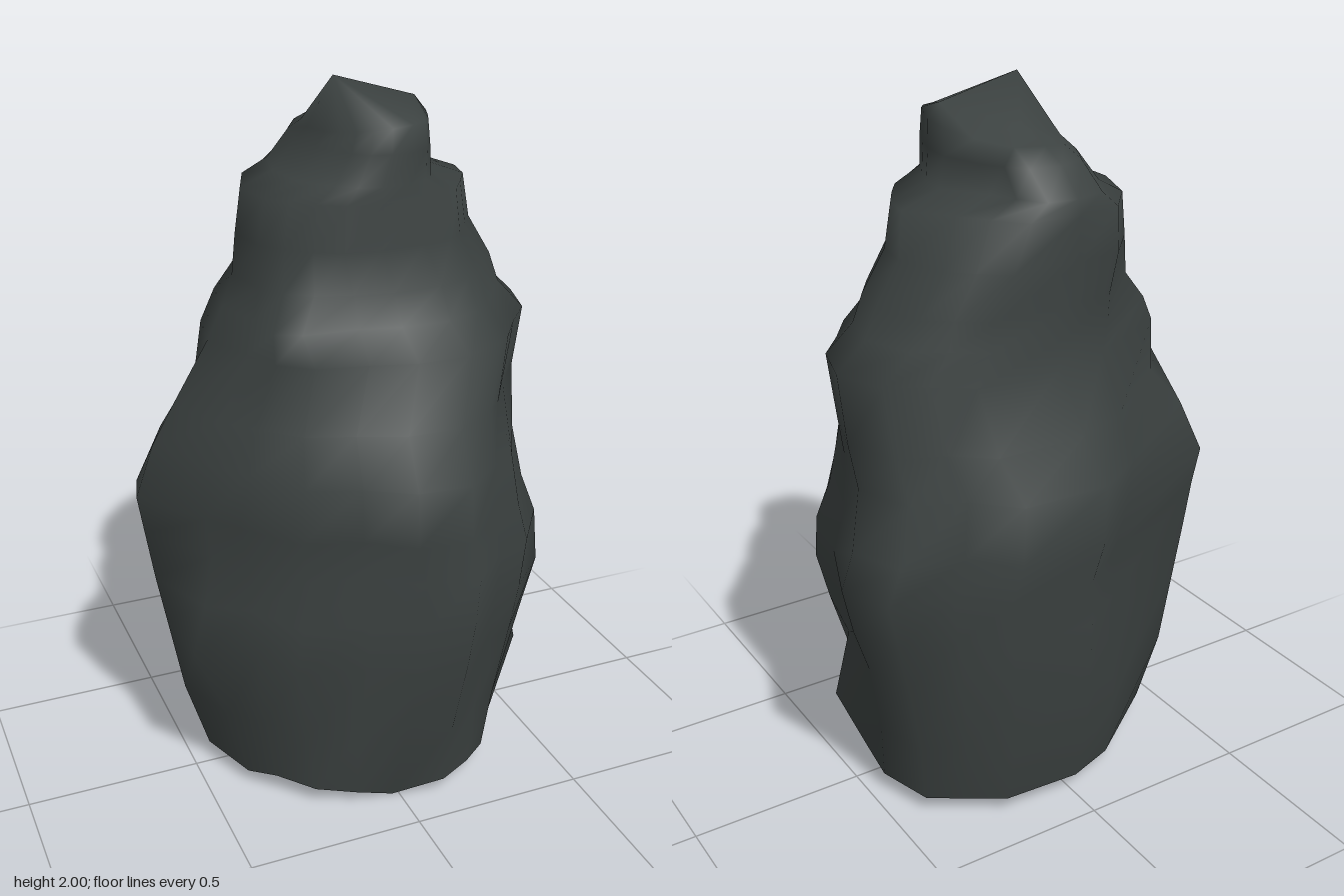
import * as THREE from 'three';

// Cross-section outlines [x, z], clockwise from the back as seen from above
const LOWER = [
  [0.02, -0.52], [0.27, -0.51], [0.38, -0.4], [0.54, -0.35], [0.61, -0.21], [0.53, 0],
  [0.47, 0.2], [0.37, 0.37], [0.27, 0.41], [0.15, 0.52], [0, 0.5], [-0.12, 0.41],
  [-0.28, 0.36], [-0.4, 0.21], [-0.47, 0.12], [-0.61, -0.08], [-0.58, -0.19], [-0.12, -0.42],
];
const UPPER = [
  [0, -0.365], [0.2, -0.365], [0.27, -0.31], [0.33, -0.26], [0.37, -0.12], [0.35, 0],
  [0.3, 0.08], [0.25, 0.15], [0.21, 0.18], [0.12, 0.21], [0, 0.215], [-0.1, 0.2],
  [-0.17, 0.16], [-0.23, 0.11], [-0.28, 0.05], [-0.3, -0.08], [-0.24, -0.23], [-0.14, -0.34],
];

// Rings: height, x range, z range, blend from lower to upper outline
const RINGS = [
  [0.05, -0.45, 0.46, -0.39, 0.41, 0.5],
  [0.25, -0.51, 0.5, -0.44, 0.45, 0.3],
  [0.48, -0.55, 0.55, -0.475, 0.5, 0.1],
  [0.62, -0.575, 0.58, -0.49, 0.52, 0.05],
  [0.76, -0.595, 0.61, -0.5, 0.52, 0],
  [0.87, -0.61, 0.58, -0.515, 0.515, 0],
  [1.03, -0.56, 0.54, -0.505, 0.51, 0.2],
  [1.14, -0.5, 0.545, -0.42, 0.39, 0.4],
  [1.32, -0.4, 0.55, -0.37, 0.345, 0.6],
  [1.4, -0.35, 0.47, -0.365, 0.28, 0.75],
  [1.48, -0.315, 0.44, -0.36, 0.235, 0.9],
  [1.59, -0.3, 0.37, -0.365, 0.215, 1],
  [1.71, -0.28, 0.35, -0.37, 0.21, 1],
  [1.75, -0.19, 0.24, -0.36, 0.205, 1],
  [1.83, -0.13, 0.225, -0.325, 0.2, 1],
  [1.88, -0.11, 0.21, -0.26, 0.195, 1],
];

// Local knobs and hollows: outline corner, height, x shift, z shift, reach
const BUMPS = [
  [14, 0.47, -0.1, 0.02, 0.17], // knob on the right flank
  [12, 0.48, -0.05, 0.01, 0.17],
  [5, 0.25, 0.07, 0.04, 0.15], // foot knob on the left flank
  [6, 0.58, 0.03, 0.04, 0.17],
  [4, 0.38, -0.03, 0, 0.17],
  [3, 0.79, 0.01, -0.01, 0.17],
  [6, 1.2, -0.03, -0.03, 0.17],
  [7, 1.2, -0.03, -0.02, 0.17],
  [13, 1.39, -0.05, 0.06, 0.08], // front right shoulder
  [12, 1.39, -0.06, 0.03, 0.08],
  [16, 1.36, -0.04, -0.02, 0.08], // back right shoulder
  [16, 1.12, 0.03, 0.05, 0.1],
  [1, 1.72, -0.05, 0.01, 0.1], // chamfer behind the left shoulder
  [2, 1.72, -0.05, 0.03, 0.1],
  [3, 1.72, -0.05, 0.05, 0.1],
  [4, 1.72, 0, 0.03, 0.1],
];

// Rescale an outline to the unit square
function normalise(outline) {
  const xs = outline.map((p) => p[0]), zs = outline.map((p) => p[1]);
  const x0 = Math.min(...xs), x1 = Math.max(...xs);
  const z0 = Math.min(...zs), z1 = Math.max(...zs);
  return outline.map(([x, z]) => [(x - x0) / (x1 - x0), (z - z0) / (z1 - z0)]);
}

function rockGeometry() {
  const low = normalise(LOWER), high = normalise(UPPER), n = low.length;
  const pos = [], index = [];
  RINGS.forEach(([y, x0, x1, z0, z1, blend], r) => {
    // renormalise the blend so each ring fills its range exactly
    const section = normalise(low.map((p, i) => [
      THREE.MathUtils.lerp(p[0], high[i][0], blend),
      THREE.MathUtils.lerp(p[1], high[i][1], blend),
    ]));
    section.forEach(([u, v], i) => {
      let x = x0 + u * (x1 - x0), h = y, z = z0 + v * (z1 - z0);
      for (const [corner, height, dx, dz, reach] of BUMPS) {
        if (corner !== i) continue;
        const w = Math.exp(-(((y - height) / reach) ** 2));
        x += dx * w;
        z += dz * w;
      }
      if (r === 0) {
        // ragged foot with one low point at the front
        h += i === 10 ? -0.05 : 0.01 * Math.sin(i * 2.1);
        if (i === 10) z -= 0.05;
      }
      if (r === RINGS.length - 1) h += 0.03 * (u + v - 1); // tilted summit
      pos.push(x, h, z);
    });
  });
  for (let r = 0; r < RINGS.length - 1; r++) {
    for (let i = 0; i < n; i++) {
      const a = r * n + i, b = r * n + (i + 1) % n, c = a + n, d = b + n;
      index.push(a, c, b, b, c, d);
    }
  }
  // Summit: peak, a ridge to its left and a dip behind
  const last = (RINGS.length - 1) * n;
  const peak = pos.length / 3, ridge = peak + 1, dip = peak + 2;
  pos.push(-0.05, 2, 0, 0.17, 1.938, 0.02, 0.02, 1.89, -0.13);
  const tip = (i) => (i <= 2 || i >= 16 ? dip : i <= 8 ? ridge : peak);
  for (let i = 0; i < n; i++) {
    const j = (i + 1) % n;
    index.push(last + i, tip(i), last + j);
    if (tip(i) !== tip(j)) index.push(tip(i), tip(j), last + j);
  }
  index.push(dip, peak, ridge);
  const geo = new THREE.BufferGeometry();
  geo.setAttribute('position', new THREE.Float32BufferAttribute(pos, 3));
  geo.setIndex(index);
  geo.computeVertexNormals();
  return geo;
}

export function createModel() {
  // The boulder is a shell, open underneath
  const stone = new THREE.MeshStandardMaterial({ color: 0x3c4241, side: THREE.DoubleSide });
  stone.name = 'darkStone';
  const rock = new THREE.Mesh(rockGeometry(), stone);
  rock.name = 'rock';
  const group = new THREE.Group();
  group.name = 'standingRock';
  group.add(rock);
  return group;
}
